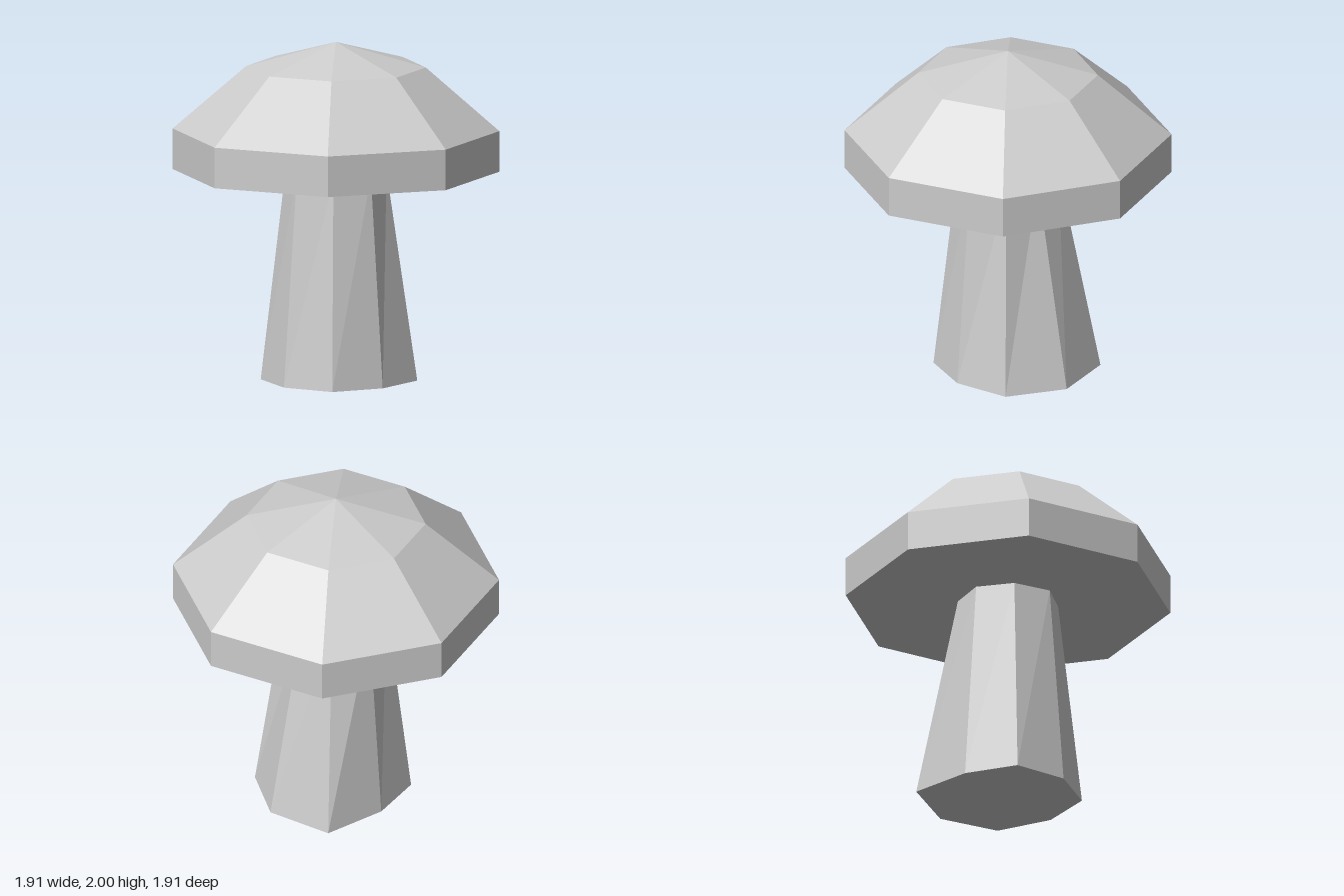
import * as THREE from 'three';

const SIDES = 8;
const CAP_BASE = 1.24;

const material = new THREE.MeshStandardMaterial({ color: 0xcccccc, flatShading: true });

function facetedMesh(name, geometry) {
  const flat = geometry.toNonIndexed();
  flat.computeVertexNormals();
  const mesh = new THREE.Mesh(flat, material);
  mesh.name = name;
  return mesh;
}

// Eight-sided cap: flat underside, upright rim, steep slope, shallow peak
function createCap() {
  const profile = [[0, CAP_BASE], [0.955, CAP_BASE], [0.955, 1.48], [0.525, 1.853], [0, 2]]
    .map(([r, y]) => new THREE.Vector2(r, y));
  return facetedMesh('cap', new THREE.LatheGeometry(profile, SIDES));
}

// Tapered stem whose foot bulges unevenly; one radius per corner,
// starting at the front and turning towards +x
function createStem() {
  const topRadii = [0.295, 0.304, 0.295, 0.255, 0.295, 0.304, 0.295, 0.308];
  const footRadii = [0.435, 0.407, 0.475, 0.5, 0.54, 0.41, 0.44, 0.41];
  const geometry = new THREE.CylinderGeometry(1, 1, CAP_BASE, SIDES);
  geometry.translate(0, CAP_BASE / 2, 0);
  const p = geometry.attributes.position;
  for (let i = 0; i < p.count; i++) {
    const x = p.getX(i), z = p.getZ(i);
    const corner = (Math.round(Math.atan2(x, z) / (Math.PI * 2 / SIDES)) + SIDES) % SIDES;
    const r = (p.getY(i) > CAP_BASE / 2 ? topRadii : footRadii)[corner];
    p.setX(i, x * r);
    p.setZ(i, z * r);
  }
  return facetedMesh('stem', geometry);
}

export function createModel() {
  const mushroom = new THREE.Group();
  mushroom.name = 'mushroom';
  mushroom.add(createStem(), createCap());
  return mushroom;
}
